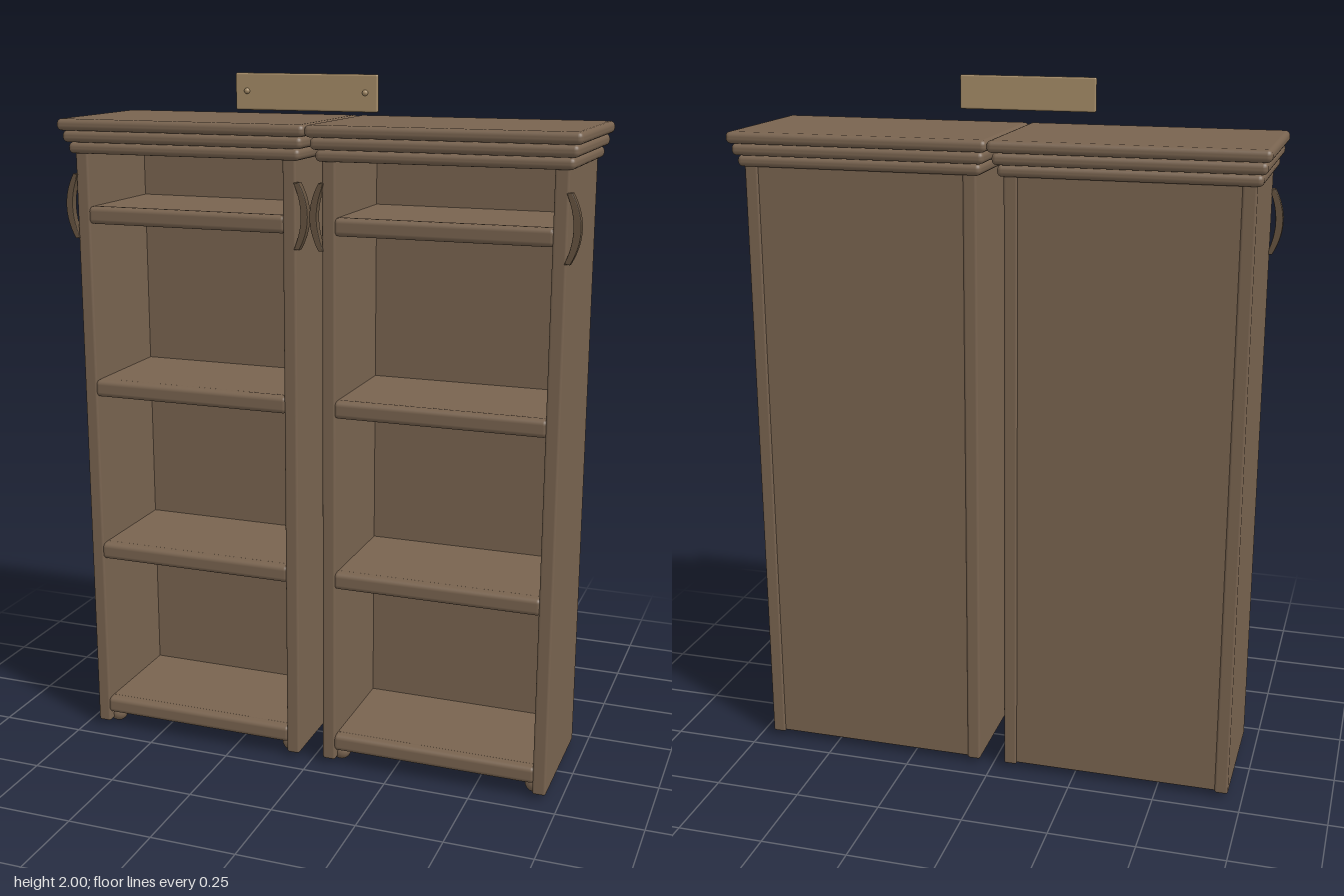
import * as THREE from 'three';
import { RoundedBoxGeometry } from 'three/addons/geometries/RoundedBoxGeometry.js';

const wood = new THREE.MeshStandardMaterial({ color: 0x78634f });
wood.name = 'brown wood';
const handleWood = new THREE.MeshStandardMaterial({ color: 0x64523f });
handleWood.name = 'dark wood';
const brass = new THREE.MeshStandardMaterial({ color: 0xa38a66 });
brass.name = 'pale brass';

function add(parent, name, geometry, material, x = 0, y = 0, z = 0) {
  const mesh = new THREE.Mesh(geometry, material);
  mesh.name = name;
  mesh.position.set(x, y, z);
  parent.add(mesh);
  return mesh;
}

// Soft-edged board given by its lower and upper limits
function board(parent, name, [x0, x1], [y0, y1], [z0, z1], radius, material = wood) {
  const geometry = new RoundedBoxGeometry(x1 - x0, y1 - y0, z1 - z0, 3, radius);
  return add(parent, name, geometry, material, (x0 + x1) / 2, (y0 + y1) / 2, (z0 + z1) / 2);
}

// Crescent bar bowing outwards along +x, both ends resting on x = 0
function handleGeometry() {
  const half = 0.09, thick = 0.009;
  const shape = new THREE.Shape();
  shape.moveTo(-0.004, -half);
  shape.lineTo(0.008, -half);
  shape.quadraticCurveTo(0.058, 0, 0.008, half);
  shape.lineTo(-0.004, half);
  shape.quadraticCurveTo(0.046 - thick, 0, -0.004, -half);
  const geometry = new THREE.ExtrudeGeometry(shape, {
    depth: 0.018, bevelEnabled: true, bevelThickness: 0.003, bevelSize: 0.002,
    bevelSegments: 2, curveSegments: 14,
  });
  return geometry.translate(0, 0, -0.009);
}

function createCabinet() {
  const cabinet = new THREE.Group();
  const half = 0.336, inner = 0.297;
  const handle = handleGeometry();

  // Sides, front feet and side handles
  for (const s of [-1, 1]) {
    const span = s > 0 ? [inner, half] : [-half, -inner];
    board(cabinet, 'sidePanel', span, [0.015, 1.785], [-0.19, 0.19], 0.007);
    add(cabinet, 'foot', new THREE.SphereGeometry(0.028, 20, 14), wood, s * 0.293, 0.028, 0.138);
    const grip = add(cabinet, 'handle', handle, handleWood, s * half, 1.62, 0.18);
    if (s < 0) grip.rotation.y = Math.PI;
  }

  // Recessed back
  board(cabinet, 'backPanel', [-0.3, 0.3], [0.02, 1.785], [-0.185, -0.16], 0.004);

  // Shelves with a rounded front edge
  for (const y of [0.07, 0.578, 1.085, 1.595]) {
    board(cabinet, 'shelf', [-0.299, 0.299], [y - 0.018, y + 0.024], [-0.17, 0.175], 0.003);
    board(cabinet, 'shelfFrontRail', [-0.304, 0.304], [y - 0.025, y + 0.025], [0.15, 0.19], 0.014);
  }

  // Stepped cornice
  const steps = [
    [0.352, 1.77, 1.802, 0.204],
    [0.363, 1.802, 1.835, 0.217],
    [0.3735, 1.835, 1.868, 0.229],
  ];
  for (const [x, y0, y1, z] of steps) {
    board(cabinet, 'cornice', [-x, x], [y0, y1], [-z, z], 0.014);
  }
  return cabinet;
}

export function createModel() {
  const model = new THREE.Group();
  model.name = 'twinBookcase';

  for (const s of [-1, 1]) {
    const cabinet = createCabinet();
    cabinet.name = s < 0 ? 'rightCabinet' : 'leftCabinet';
    cabinet.position.x = s * 0.3735;
    model.add(cabinet);
  }

  // Blank plate above the cornice, with two pins
  const plate = new THREE.Group();
  plate.name = 'plate';
  board(plate, 'plateBoard', [-0.201, 0.201], [1.903, 2], [0.197, 0.209], 0.005, brass);
  for (const s of [-1, 1]) {
    const pin = new THREE.SphereGeometry(0.008, 14, 10);
    add(plate, 'pin', pin, brass, s * 0.167, 1.953, 0.21);
  }
  model.add(plate);
  return model;
}
